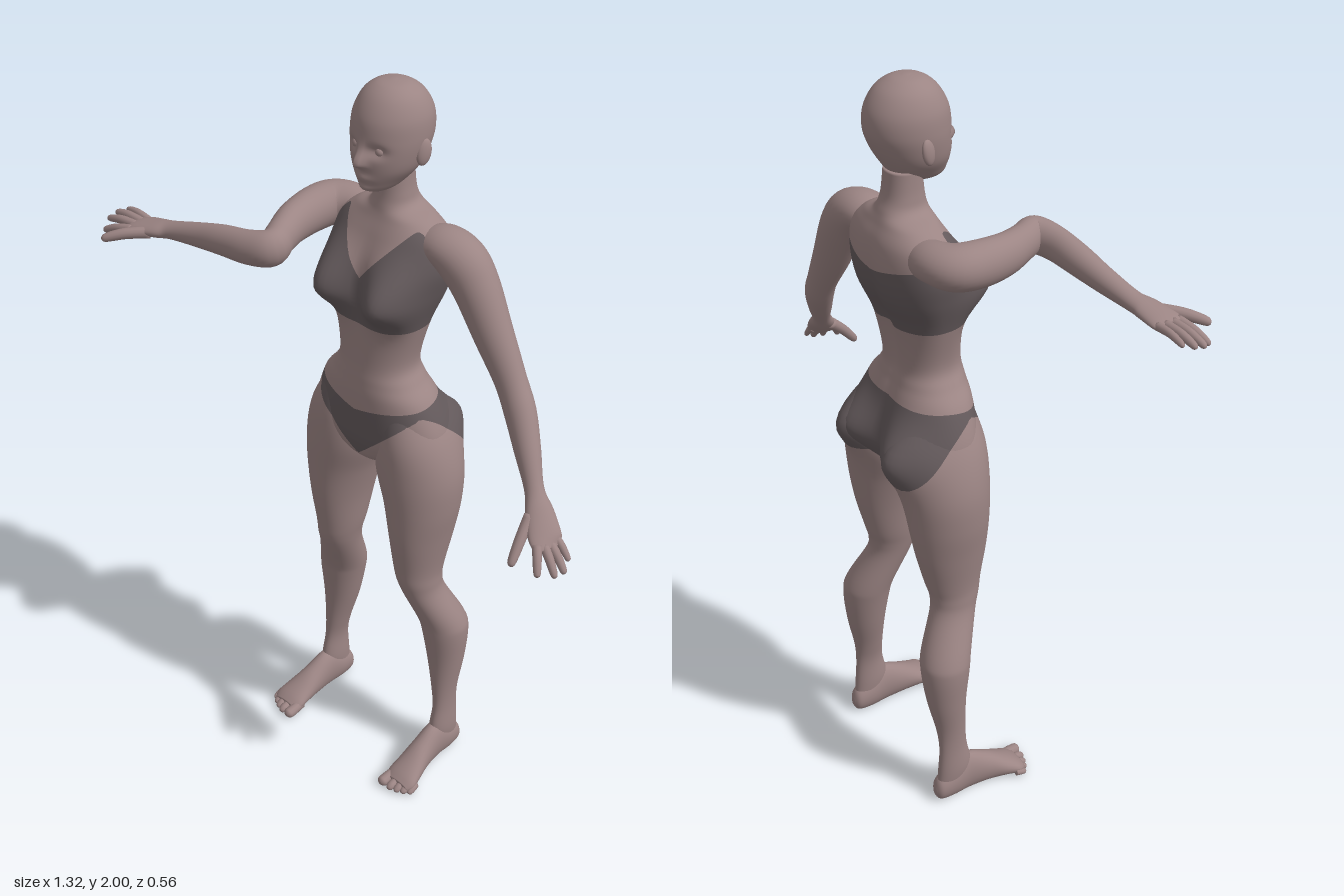
import * as THREE from 'three';

const { smoothstep, lerp, clamp } = THREE.MathUtils;
const X = new THREE.Vector3(1, 0, 0), Y = new THREE.Vector3(0, 1, 0), Z = new THREE.Vector3(0, 0, 1);
const bump = (d, s) => Math.exp(-(d * d) / (s * s));

// Smooth interpolation through rows of numbers
function sample(rows, k) {
  const out = [], last = rows.length - 1;
  for (let i = 0; i < last; i++) {
    const [p, q, r, s] = [-1, 0, 1, 2].map(o => rows[clamp(i + o, 0, last)]);
    for (let j = 0; j < k; j++) {
      const t = j / k;
      out.push(q.map((b, m) => 0.5 * (2 * b + (r[m] - p[m]) * t + (2 * p[m] - 5 * b + 4 * r[m] - s[m]) * t * t
        + (3 * b - p[m] - 3 * r[m] + s[m]) * t * t * t)));
    }
  }
  out.push(rows[last]);
  return out;
}

// Closed skin over elliptical rings [x, y, z, a, b]; fixed axes U, V or axes that follow the path
function loft(rows, { n = 24, k = 6, U, V, power = 1, warp } = {}) {
  const rings = sample(rows, k), pos = [], idx = [], p = new THREE.Vector3();
  const at = i => new THREE.Vector3(...rings[clamp(i, 0, rings.length - 1)].slice(0, 3));
  const shape = v => Math.sign(v) * Math.abs(v) ** power;
  const add = () => { if (warp) warp(p); pos.push(p.x, p.y, p.z); };
  rings.forEach(([, , , a, b], i) => {
    const T = at(i + 1).sub(at(i - 1)).normalize();
    const u = U || Y.clone().cross(T).normalize(), v = V || T.clone().cross(u);
    for (let j = 0; j < n; j++) {
      const w = j / n * Math.PI * 2;
      p.copy(at(i)).addScaledVector(u, a * shape(Math.cos(w))).addScaledVector(v, b * shape(Math.sin(w)));
      add();
    }
  });
  p.copy(at(0)); add();
  p.copy(at(rings.length)); add();
  const end = (rings.length - 1) * n, s = rings.length * n;
  for (let j = 0; j < n; j++) {
    const j2 = (j + 1) % n;
    for (let i = 0; i < end; i += n) idx.push(i + j, i + j2, i + n + j, i + j2, i + n + j2, i + n + j);
    idx.push(s, j2, j, s + 1, end + j, end + j2);
  }
  const g = new THREE.BufferGeometry();
  g.setAttribute('position', new THREE.Float32BufferAttribute(pos, 3));
  g.setIndex(idx);
  g.computeVertexNormals();
  return g;
}

// Cuts a surface cleanly along field = 0; returns [inside, outside]
function split(geo, field) {
  const g = geo.index ? geo.toNonIndexed() : geo, P = g.attributes.position, N = g.attributes.normal;
  return [1, -1].map(sign => {
    const pos = [], nor = [];
    for (let i = 0; i < P.count; i += 3) {
      const tri = [i, i + 1, i + 2].map(m => {
        const p = new THREE.Vector3().fromBufferAttribute(P, m);
        return { p, n: new THREE.Vector3().fromBufferAttribute(N, m), f: sign * field(p) };
      });
      const poly = [];
      tri.forEach((a, m) => {
        const b = tri[(m + 1) % 3];
        if (a.f >= 0) poly.push(a);
        if ((a.f >= 0) !== (b.f >= 0)) {
          const t = a.f / (a.f - b.f);
          poly.push({ p: a.p.clone().lerp(b.p, t), n: a.n.clone().lerp(b.n, t) });
        }
      });
      for (let m = 2; m < poly.length; m++) for (const v of [poly[0], poly[m - 1], poly[m]]) {
        pos.push(v.p.x, v.p.y, v.p.z);
        nor.push(v.n.x, v.n.y, v.n.z);
      }
    }
    const out = new THREE.BufferGeometry();
    out.setAttribute('position', new THREE.Float32BufferAttribute(pos, 3));
    out.setAttribute('normal', new THREE.Float32BufferAttribute(nor, 3));
    return out;
  });
}

// Garment outlines
function briefsField({ x, y, z }) {
  const ax = Math.abs(x), front = smoothstep(z, -0.14, -0.06);
  const top = lerp(1.205, 1.165 + 0.2 * ax, front);
  return Math.min(top - y, y - 1.02 - 0.95 * ax * clamp((z + 0.25) / 0.18, 0, 1));
}
function braField({ x, y, z }) {
  const ax = Math.abs(x);
  const front = Math.min(1.53 + 1.25 * ax - y, 1.68 - y, 0.125 + (1.67 - y) * 0.45 - ax);
  return Math.min(y - 1.41, lerp(1.56 + 0.25 * ax - y, front, smoothstep(z, -0.15, -0.1)));
}

// Body relief
function seatWarp(p) {
  const back = 1 - smoothstep(p.z, -0.19, -0.1);
  p.z -= 0.066 * back * bump(Math.abs(p.x) - 0.1, 0.075) * bump(p.y - 1.09, 0.075);
}
function torsoWarp(p) {
  seatWarp(p);
  const front = smoothstep(p.z, -0.13, -0.06), dy = p.y - 1.495;
  const bust = front * bump(Math.abs(p.x) - 0.085, 0.062) * bump(dy, dy < 0 ? 0.062 : 0.085);
  p.z += 0.078 * bust;
  p.x *= 1 + 0.08 * bust;
  if (p.z < -0.15) p.z += 0.014 * bump(p.x, 0.025) * bump(p.y - 1.4, 0.17);
}
function faceWarp(p) {
  const f = smoothstep(p.z, -0.1, -0.05), ax = Math.abs(p.x - 0.005);
  p.z += f * (0.026 * bump(ax, 0.013) * bump(p.y - 1.832, p.y > 1.832 ? 0.03 : 0.012)
    - 0.012 * bump(ax - 0.035, 0.02) * bump(p.y - 1.862, 0.014)
    + 0.006 * bump(ax, 0.022) * bump(p.y - 1.793, 0.011)
    + 0.006 * bump(ax, 0.02) * bump(p.y - 1.765, 0.01));
}

export function createModel() {
  const skin = new THREE.MeshStandardMaterial({ color: 0x9c8584 });
  skin.name = 'skin';
  const cloth = new THREE.MeshStandardMaterial({ color: 0x645a5c });
  cloth.name = 'underwear';
  const model = new THREE.Group();
  model.name = 'figure';
  const add = (name, geo, mat = skin) => {
    const m = new THREE.Mesh(geo, mat);
    m.name = name;
    model.add(m);
    return m;
  };
  const upright = ([y, w, zf, zb]) => [0, y, (zf + zb) / 2, w, (zf - zb) / 2];

  // Torso with bra and briefs
  const torso = loft([
    [1.79, 0.045, -0.1, -0.185], [1.73, 0.048, -0.095, -0.193], [1.695, 0.06, -0.088, -0.207],
    [1.67, 0.11, -0.08, -0.218], [1.63, 0.155, -0.062, -0.235], [1.57, 0.168, -0.04, -0.242],
    [1.5, 0.155, -0.03, -0.235], [1.41, 0.128, -0.02, -0.2], [1.3, 0.105, -0.015, -0.183],
    [1.25, 0.125, -0.01, -0.188], [1.2, 0.165, -0.006, -0.2], [1.1, 0.2, -0.005, -0.215],
    [1.05, 0.17, -0.012, -0.215], [1.01, 0.09, -0.03, -0.2], [0.985, 0.02, -0.08, -0.15],
  ].map(upright), { n: 72, k: 7, U: X, V: Z, power: 0.9, warp: torsoWarp });
  const [bra, rest] = split(torso, braField), [briefs, trunk] = split(rest, briefsField);
  add('torso', trunk);
  add('bra', bra, cloth);
  add('briefs', briefs, cloth);

  // Head
  const head = [
    [2, 0.006, -0.12, -0.132], [1.993, 0.04, -0.085, -0.166], [1.97, 0.07, -0.055, -0.2],
    [1.93, 0.089, -0.032, -0.224], [1.885, 0.093, -0.024, -0.228], [1.845, 0.088, -0.022, -0.215],
    [1.81, 0.077, -0.024, -0.195], [1.78, 0.056, -0.028, -0.172], [1.76, 0.038, -0.036, -0.14], [1.748, 0.015, -0.055, -0.1],
  ].map(upright).map(r => (r[0] = 0.005, r));
  add('head', loft(head, { n: 64, k: 8, U: X, V: Z, warp: faceWarp }));

  for (const s of [1, -1]) {
    const side = s > 0 ? 'left' : 'right';
    const ear = add(side + 'Ear', new THREE.SphereGeometry(1, 16, 12));
    ear.scale.set(0.01, 0.032, 0.019);
    ear.position.set(0.005 + s * 0.092, 1.85, -0.13);
    ear.rotation.set(-0.2, s * -0.35, 0);
    const eye = add(side + 'Eye', new THREE.SphereGeometry(0.012, 16, 12));
    eye.position.set(0.005 + s * 0.035, 1.861, -0.047);

    // Leg
    const leg = loft([
      [1.2, 0.15, 0.03, -0.03, -0.17], [1.1, 0.207, 0.018, -0.008, -0.212], [1.0, 0.235, 0.012, -0.005, -0.232],
      [0.9, 0.235, 0.042, -0.01, -0.225], [0.8, 0.22, 0.065, -0.016, -0.21], [0.7, 0.205, 0.08, -0.03, -0.185],
      [0.65, 0.203, 0.09, -0.038, -0.172], [0.6, 0.21, 0.1, -0.054, -0.177], [0.5, 0.249, 0.12, -0.09, -0.222],
      [0.45, 0.257, 0.13, -0.1, -0.23], [0.35, 0.25, 0.15, -0.112, -0.22], [0.25, 0.24, 0.175, -0.115, -0.2],
      [0.18, 0.238, 0.188, -0.113, -0.195], [0.1, 0.242, 0.186, -0.1, -0.2], [0.04, 0.236, 0.19, -0.12, -0.205],
    ].map(([y, xo, xi, zf, zb]) => [s * (xo + xi) / 2, y, (zf + zb) / 2, (xo - xi) / 2, (zf - zb) / 2]),
    { n: 44, k: 6, U: X, V: Z, warp: seatWarp });
    const [seat, bare] = split(leg, briefsField);
    add(side + 'Leg', bare);
    add(side + 'BriefsSeat', seat, cloth);

    // Foot with flat sole, and toes
    const sole = p => { p.y = Math.max(p.y, 0); };
    add(side + 'Foot', loft([
      [0.213, 0.035, -0.213, 0.008, 0.012], [0.213, 0.04, -0.2, 0.024, 0.036], [0.213, 0.05, -0.16, 0.031, 0.052],
      [0.214, 0.062, -0.11, 0.031, 0.064], [0.217, 0.048, -0.05, 0.036, 0.05], [0.222, 0.033, 0, 0.044, 0.034],
      [0.225, 0.022, 0.035, 0.048, 0.023], [0.225, 0.016, 0.055, 0.038, 0.013],
    ].map(r => [s * r[0], ...r.slice(1)]), { U: X, V: Y, warp: sole }));
    [[0.19, 0.085, 0.016], [0.217, 0.082, 0.012], [0.237, 0.075, 0.011], [0.254, 0.066, 0.011], [0.269, 0.054, 0.01]]
      .forEach(([x, z, r], i) => add(side + 'Toe' + (i + 1), loft([
        [s * x, 0.018, 0.02, r * 0.8, r], [s * x, 0.015, z - 0.02, r, r],
        [s * x, r, z - 0.006, r * 0.85, r * 0.8], [s * x, r, z, r * 0.3, r * 0.3],
      ], { n: 12, k: 4, U: X, V: Y, warp: sole })));
  }

  // Arms: the left hangs out to the side, the right reaches forward and bends outward
  add('leftArm', loft([
    [0.1, 1.61, -0.15, 0.05, 0.045], [0.15, 1.622, -0.155, 0.06, 0.05], [0.2, 1.598, -0.16, 0.061, 0.06],
    [0.242, 1.545, -0.163, 0.056, 0.058], [0.3, 1.45, -0.16, 0.047, 0.051], [0.365, 1.35, -0.155, 0.038, 0.042],
    [0.41, 1.287, -0.142, 0.038, 0.042], [0.46, 1.215, -0.115, 0.032, 0.034], [0.51, 1.145, -0.085, 0.024, 0.022],
    [0.545, 1.105, -0.066, 0.035, 0.02], [0.585, 1.063, -0.042, 0.042, 0.016], [0.603, 1.043, -0.036, 0.036, 0.011],
  ], { n: 32 }));
  add('rightArm', loft([
    [-0.1, 1.61, -0.155, 0.05, 0.045], [-0.155, 1.62, -0.16, 0.054, 0.048], [-0.197, 1.618, -0.135, 0.057, 0.054],
    [-0.208, 1.615, -0.075, 0.05, 0.056], [-0.198, 1.612, 0, 0.043, 0.052], [-0.172, 1.61, 0.065, 0.038, 0.046],
    [-0.152, 1.608, 0.115, 0.038, 0.046], [-0.2, 1.6, 0.139, 0.036, 0.043], [-0.28, 1.59, 0.145, 0.035, 0.038],
    [-0.36, 1.576, 0.151, 0.03, 0.031], [-0.45, 1.56, 0.162, 0.027, 0.022], [-0.49, 1.554, 0.172, 0.036, 0.019],
    [-0.54, 1.546, 0.18, 0.042, 0.015], [-0.565, 1.542, 0.181, 0.036, 0.011],
  ], { n: 32 }));

  // Fingers: base, tip and radius
  const finger = (name, a, b, r) => {
    const mix = (t, lift, k) => [...a.map((v, i) => lerp(v, b[i], t) + (i === 1 ? lift : 0)), r * k, r * k];
    add(name, loft([mix(0, 0, 1.1), mix(0.45, 0.005, 1), mix(0.75, 0.003, 0.9), mix(0.94, 0, 0.7), mix(1, 0, 0.25)], { n: 12, k: 4 }));
  };
  [
    ['leftThumb', [0.535, 1.1, -0.045], [0.553, 1.008, 0.043], 0.014],
    ['leftIndex', [0.585, 1.057, -0.012], [0.62, 1.003, 0.025], 0.011],
    ['leftMiddle', [0.593, 1.053, -0.028], [0.648, 0.997, -0.008], 0.011],
    ['leftRing', [0.597, 1.053, -0.046], [0.655, 0.998, -0.035], 0.011],
    ['leftLittle', [0.593, 1.062, -0.066], [0.645, 1.015, -0.062], 0.0095],
    ['rightThumb', [-0.5, 1.548, 0.195], [-0.588, 1.53, 0.277], 0.014],
    ['rightIndex', [-0.55, 1.542, 0.21], [-0.64, 1.516, 0.228], 0.011],
    ['rightMiddle', [-0.555, 1.544, 0.191], [-0.66, 1.53, 0.197], 0.011],
    ['rightRing', [-0.555, 1.544, 0.171], [-0.66, 1.537, 0.17], 0.011],
    ['rightLittle', [-0.55, 1.544, 0.153], [-0.645, 1.542, 0.146], 0.0095],
  ].forEach(f => finger(...f));

  return model;
}
